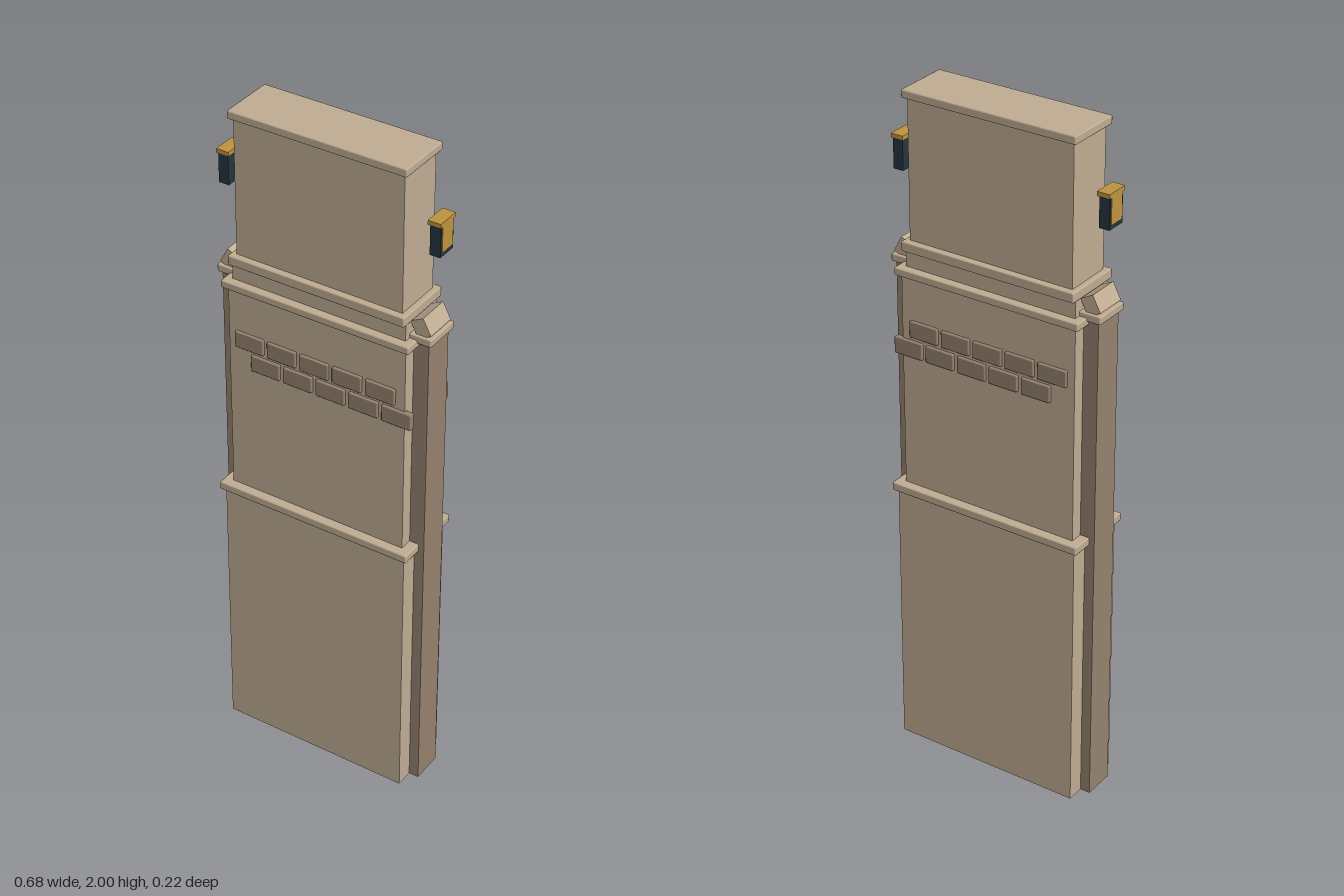
import * as THREE from 'three';
import { RoundedBoxGeometry } from 'three/addons/geometries/RoundedBoxGeometry.js';

const material = (name, color) => {
  const m = new THREE.MeshStandardMaterial({ color });
  m.name = name;
  return m;
};

export function createModel() {
  const sand = material('sandstone', 0xc2ae94);
  const brown = material('brown stone', 0x978370);
  const gold = material('lamp gold', 0xc09540);
  const iron = material('dark iron', 0x25353f);
  const model = new THREE.Group();
  model.name = 'chimney';

  // Box centred at x, z and running from y0 to y1; a bevel softens its edges
  function block(name, mat, [w, d], y0, y1, x = 0, z = 0, bevel = 0, parent = model) {
    const h = y1 - y0;
    const geometry = bevel
      ? new RoundedBoxGeometry(w, h, d, 1, bevel)
      : new THREE.BoxGeometry(w, h, d);
    const mesh = new THREE.Mesh(geometry, mat);
    mesh.name = name;
    mesh.position.set(x, (y0 + y1) / 2, z);
    parent.add(mesh);
    return mesh;
  }

  // Stepped shaft
  block('lowerShaft', sand, [0.58, 0.2], 0, 0.82);
  block('middleShaft', sand, [0.55, 0.17], 0.82, 1.48);
  block('upperShaft', sand, [0.51, 0.144], 1.48, 1.98);

  // Moulded ledges and cap
  block('lowerLedge', sand, [0.606, 0.224], 0.815, 0.84, 0, 0, 0.004);
  block('shoulderLedge', sand, [0.58, 0.198], 1.474, 1.497, 0, 0, 0.004);
  block('neckPlinth', sand, [0.535, 0.15], 1.495, 1.547);
  block('neckLedge', sand, [0.542, 0.182], 1.546, 1.575, 0, 0, 0.004);
  block('topCap', sand, [0.534, 0.168], 1.976, 2, 0, 0, 0.004);

  for (const s of [-1, 1]) {
    // Side pilaster with its cap and tilted coping stone
    block('pilaster', brown, [0.1, 0.094], 0, 1.488, s * 0.27, 0);
    block('pilasterCap', sand, [0.09, 0.112], 1.487, 1.51, s * 0.286, 0, 0.004);
    const coping = block('copingStone', sand, [0.042, 0.096], 1.504, 1.556, s * 0.295);
    coping.rotation.z = s * 0.49;

    // Lantern beside the upper shaft, glowing panel on the outside
    const lantern = new THREE.Group();
    lantern.name = s > 0 ? 'leftLantern' : 'rightLantern';
    model.add(lantern);
    block('lanternBody', iron, [0.031, 0.06], 1.744, 1.832, s * 0.32, 0, 0, lantern);
    block('lanternRoof', gold, [0.038, 0.07], 1.832, 1.845, s * 0.319, 0, 0, lantern);
    block('lanternPanel', gold, [0.004, 0.05], 1.757, 1.832, s * 0.336, 0, 0, lantern);

    // Two staggered rows of raised bricks on the front and back
    for (let row = 0; row < 2; row++) {
      for (let i = 0; i < 5; i++) {
        const y = 1.298 - row * 0.06;
        const x = -0.208 + i * 0.1025 + row * 0.051;
        block('brick', brown, [0.09, 0.018], y, y + 0.049, x, s * 0.085, 0.003);
      }
    }
  }
  return model;
}
